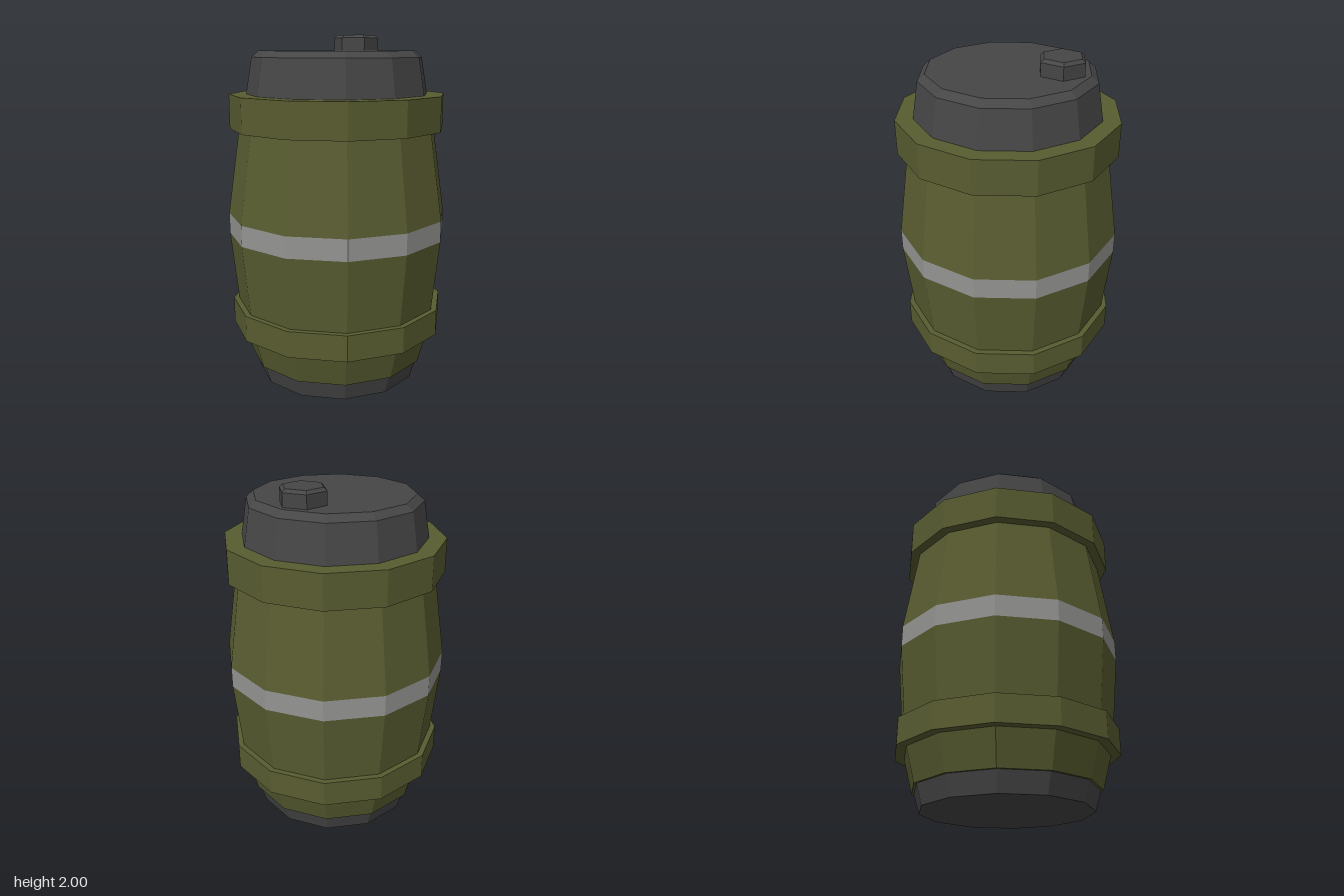
import * as THREE from 'three';

const material = (name, color) => {
  const m = new THREE.MeshStandardMaterial({ color, flatShading: true });
  m.name = name;
  return m;
};

// Faceted ring from [flat-to-flat half width, height] points, listed bottom to top
function prism(name, mat, sides, profile, turn) {
  const scale = 1 / Math.cos(Math.PI / sides);
  const points = profile.map(([r, y]) => new THREE.Vector2(r * scale, y));
  const mesh = new THREE.Mesh(new THREE.LatheGeometry(points, sides, turn, Math.PI * 2), mat);
  mesh.name = name;
  return mesh;
}

export function createModel() {
  const green = material('olive green', 0x585c30);
  const dark = material('dark grey', 0x464646);
  const grey = material('light grey', 0x949492);

  const barrel = new THREE.Group();
  barrel.name = 'barrel';

  // Twelve-sided parts with a flat side facing the front
  const parts = [
    ['base', dark, [[0, 0], [0.46, 0], [0.492, 0.11]]],
    ['lowerBody', green, [[0.48, 0.11], [0.505, 0.11], [0.555, 0.3]]],
    ['lowerBand', green, [[0.555, 0.3], [0.608, 0.3], [0.608, 0.45], [0.577, 0.45]]],
    ['middleBody', green, [[0.577, 0.45], [0.618, 0.86]]],
    ['stripe', grey, [[0.618, 0.86], [0.618, 0.98]]],
    ['upperBody', green, [[0.618, 0.98], [0.547, 1.475]]],
    ['upperBand', green, [[0.547, 1.475], [0.598, 1.475], [0.598, 1.67], [0.49, 1.67]]],
    ['lid', dark, [[0.503, 1.67], [0.469, 1.875], [0.43, 1.91], [0, 1.91]]],
  ];
  for (const [name, mat, profile] of parts) {
    barrel.add(prism(name, mat, 12, profile, Math.PI / 12));
  }

  // Hexagonal plug, off centre on the lid
  const plug = prism('plug', dark, 6, [[0.114, 1.9], [0.114, 1.983], [0.097, 2], [0, 2]], 0);
  plug.position.set(0.196, 0, -0.211);
  barrel.add(plug);

  return barrel;
}
